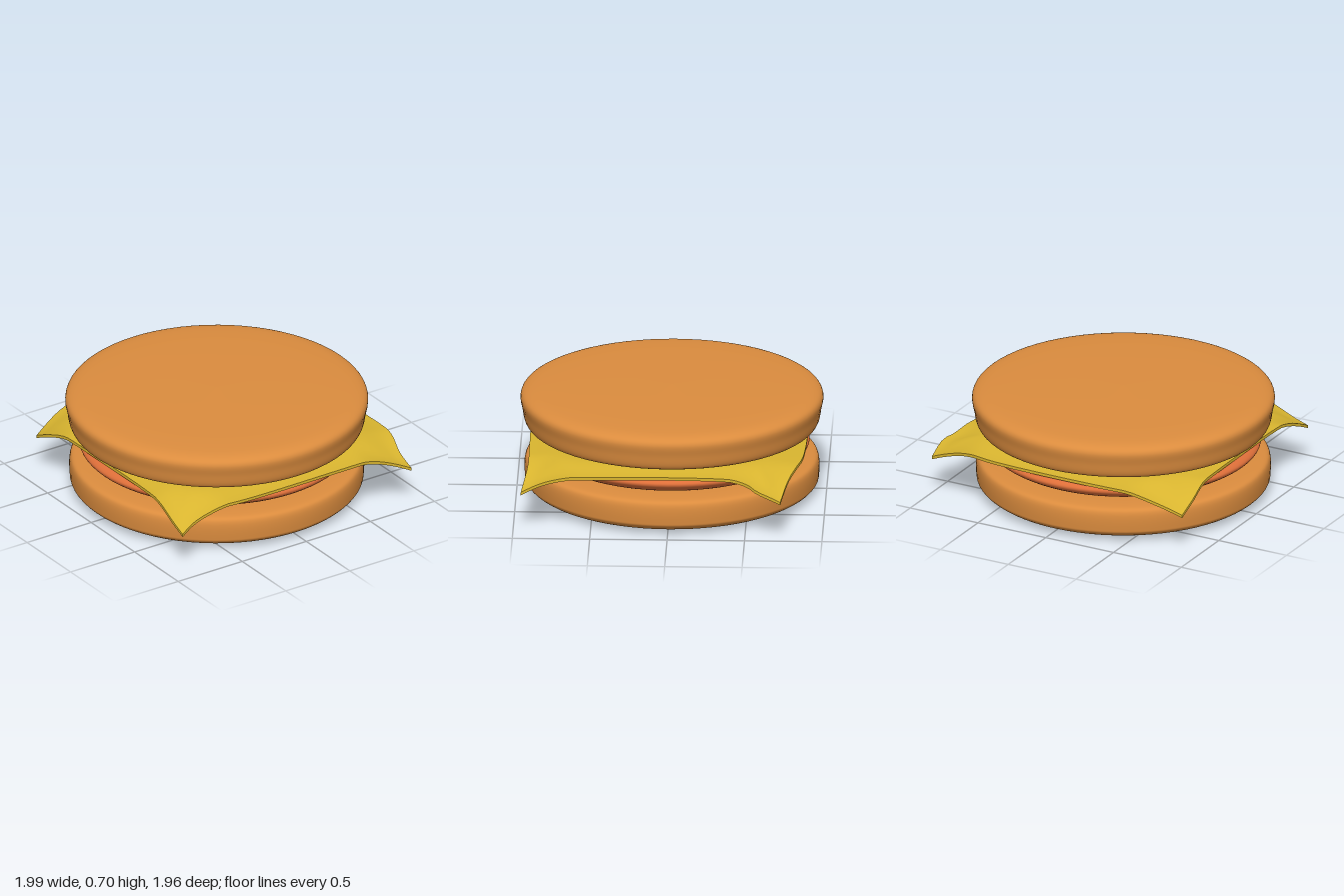
import * as THREE from 'three';

const mat = (color) => new THREE.MeshStandardMaterial({ color });

// Turned part from a smoothed [radius, height] profile, listed bottom to top
function turned(name, color, points) {
  const curve = new THREE.CatmullRomCurve3(
    points.map(([r, y]) => new THREE.Vector3(r, y, 0)), false, 'centripetal');
  const profile = curve.getPoints(points.length * 4)
    .map((p) => new THREE.Vector2(Math.max(p.x, 0), p.y));
  const mesh = new THREE.Mesh(new THREE.LatheGeometry(profile, 72), mat(color));
  mesh.name = name;
  mesh.position.x = -0.02;
  return mesh;
}

// Edge of the cheese slice as a curve through [x, z] points
const edge = (points) => new THREE.CatmullRomCurve3(
  points.map(([x, z]) => new THREE.Vector3(x, 0, z)), false, 'centripetal');

function cheeseSlice() {
  const A = [-0.89, -0.79], B = [0.99, -0.73], C = [-0.89, 0.89], D = [0.855, 0.95];
  const back = edge([A, [-0.68, -0.85], [-0.53, -0.87], [0, -0.88], [0.49, -0.86], [0.63, -0.83], [0.78, -0.78], B]);
  const front = edge([C, [-0.79, 0.87], [-0.6, 0.89], [-0.4, 0.91], [0.37, 0.91], [0.6, 0.91], [0.72, 0.925], D]);
  const left = edge([A, [-0.895, -0.65], [-0.88, -0.5], [-0.87, 0], [-0.87, 0.4], [-0.88, 0.6], [-0.895, 0.78], C]);
  const right = edge([B, [0.985, -0.58], [0.94, -0.52], [0.905, -0.35], [0.89, 0], [0.9, 0.35], [0.895, 0.65], [0.85, 0.83], D]);

  // A thin box grid is stretched between the four edges, its corners drooping
  const n = 40;
  const geo = new THREE.BoxGeometry(2, 2, 2, n, 1, n);
  const pos = geo.attributes.position;
  const mix = THREE.MathUtils.lerp;
  for (let i = 0; i < pos.count; i++) {
    const u = pos.getX(i), v = pos.getZ(i);
    const s = THREE.MathUtils.clamp((u + 1) / 2, 0, 1);
    const t = THREE.MathUtils.clamp((v + 1) / 2, 0, 1);
    const b = back.getPointAt(s), f = front.getPointAt(s);
    const l = left.getPointAt(t), r = right.getPointAt(t);
    const blend = (k, j) => mix(b[k], f[k], t) + mix(l[k], r[k], s)
      - mix(mix(A[j], B[j], s), mix(C[j], D[j], s), t);
    const rim = THREE.MathUtils.smoothstep(Math.max(Math.abs(u), Math.abs(v)), 0.72, 1);
    const d = Math.hypot(1 - Math.abs(u), 1 - Math.abs(v));
    const droop = Math.pow(Math.max(0, 1 - d / 0.42), 1.5);
    pos.setXYZ(i, blend('x', 0), 0.408 + pos.getY(i) * 0.01 - 0.03 * rim - 0.125 * droop, blend('z', 1));
  }
  geo.computeVertexNormals();
  const mesh = new THREE.Mesh(geo, mat(0xd9b52f));
  mesh.name = 'cheeseSlice';
  return mesh;
}

export function createModel() {
  const group = new THREE.Group();
  group.name = 'burger';
  const bun = 0xdb8c3e;

  group.add(turned('bottomBun', bun, [
    [0, 0], [0.5, 0.005], [0.8, 0.015], [0.9, 0.03], [0.945, 0.065],
    [0.95, 0.09], [0.95, 0.19], [0.935, 0.222], [0.88, 0.236], [0.6, 0.24], [0, 0.24]]));

  group.add(turned('patty', 0xe0703a, [
    [0, 0.225], [0.6, 0.23], [0.76, 0.245], [0.85, 0.285], [0.885, 0.315],
    [0.888, 0.335], [0.86, 0.36], [0.78, 0.375], [0.5, 0.385], [0, 0.385]]));

  group.add(cheeseSlice());

  group.add(turned('topBun', bun, [
    [0, 0.425], [0.6, 0.43], [0.86, 0.44], [0.935, 0.455], [0.953, 0.48],
    [0.966, 0.55], [0.978, 0.62], [0.965, 0.65], [0.92, 0.672], [0.8, 0.686], [0.5, 0.695], [0, 0.7]]));

  return group;
}
